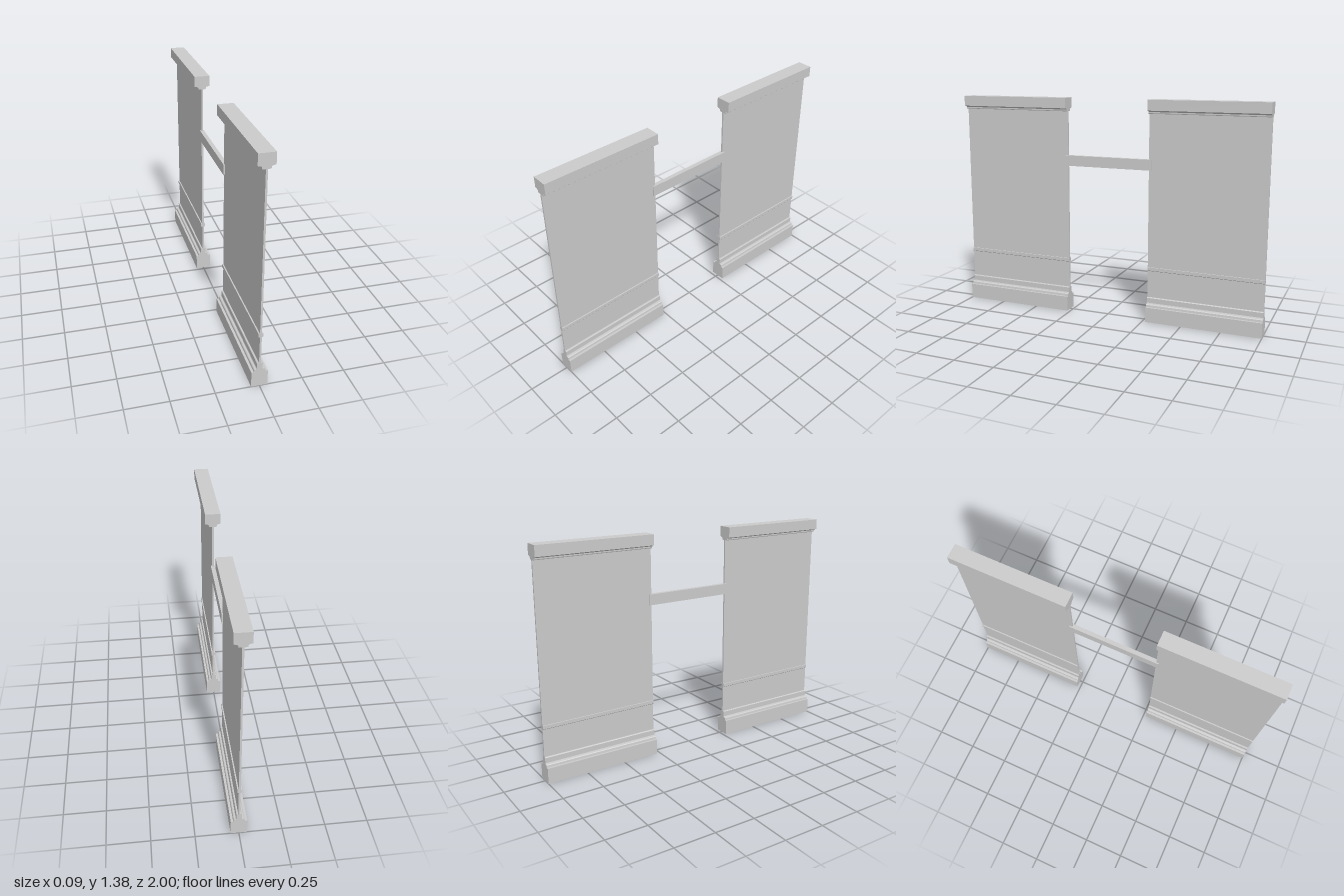
import * as THREE from 'three';

const material = new THREE.MeshStandardMaterial({ color: 0xcccccc, flatShading: true });
const INNER = 0.27, LENGTH = 0.73;

// Extrude a symmetric moulding along z; points are [half width, height] from bottom to top.
function moulding(name, half) {
  const right = half.map(([x, y]) => new THREE.Vector2(x, y));
  const left = half.map(([x, y]) => new THREE.Vector2(-x, y)).reverse();
  const geometry = new THREE.ExtrudeGeometry(new THREE.Shape([...right, ...left]), {
    depth: LENGTH, bevelEnabled: false,
  });
  const mesh = new THREE.Mesh(geometry, material);
  mesh.name = name;
  return mesh;
}

function box(name, w, y0, y1, z0, z1) {
  const mesh = new THREE.Mesh(new THREE.BoxGeometry(w, y1 - y0, z1 - z0), material);
  mesh.position.set(0, (y0 + y1) / 2, (z0 + z1) / 2);
  mesh.name = name;
  return mesh;
}

// One wall panel with its base, dado bead and cap
function wallSection(name, z) {
  const section = new THREE.Group();
  section.name = name;
  section.add(
    box('panel', 0.011, 0.12, 1.34, 0, LENGTH),
    moulding('baseMoulding', [
      [0.047, 0], [0.047, 0.095], [0.033, 0.095], [0.031, 0.108], [0.027, 0.112],
      [0.018, 0.113], [0.016, 0.118], [0.016, 0.149], [0.013, 0.153],
    ]),
    moulding('dadoBead', [
      [0.011, 0.324], [0.013, 0.327], [0.013, 0.347],
    ]),
    moulding('capMoulding', [
      [0.022, 1.298], [0.024, 1.302], [0.024, 1.309], [0.028, 1.313],
      [0.034, 1.315], [0.047, 1.318], [0.047, 1.382],
    ]),
  );
  section.position.z = z;
  return section;
}

export function createModel() {
  const model = new THREE.Group();
  model.name = 'panelledPartition';
  model.add(
    wallSection('frontWall', INNER),
    wallSection('backWall', -INNER - LENGTH),
    box('crossRail', 0.026, 0.955, 1.021, -0.287, 0.287),
  );
  return model;
}
